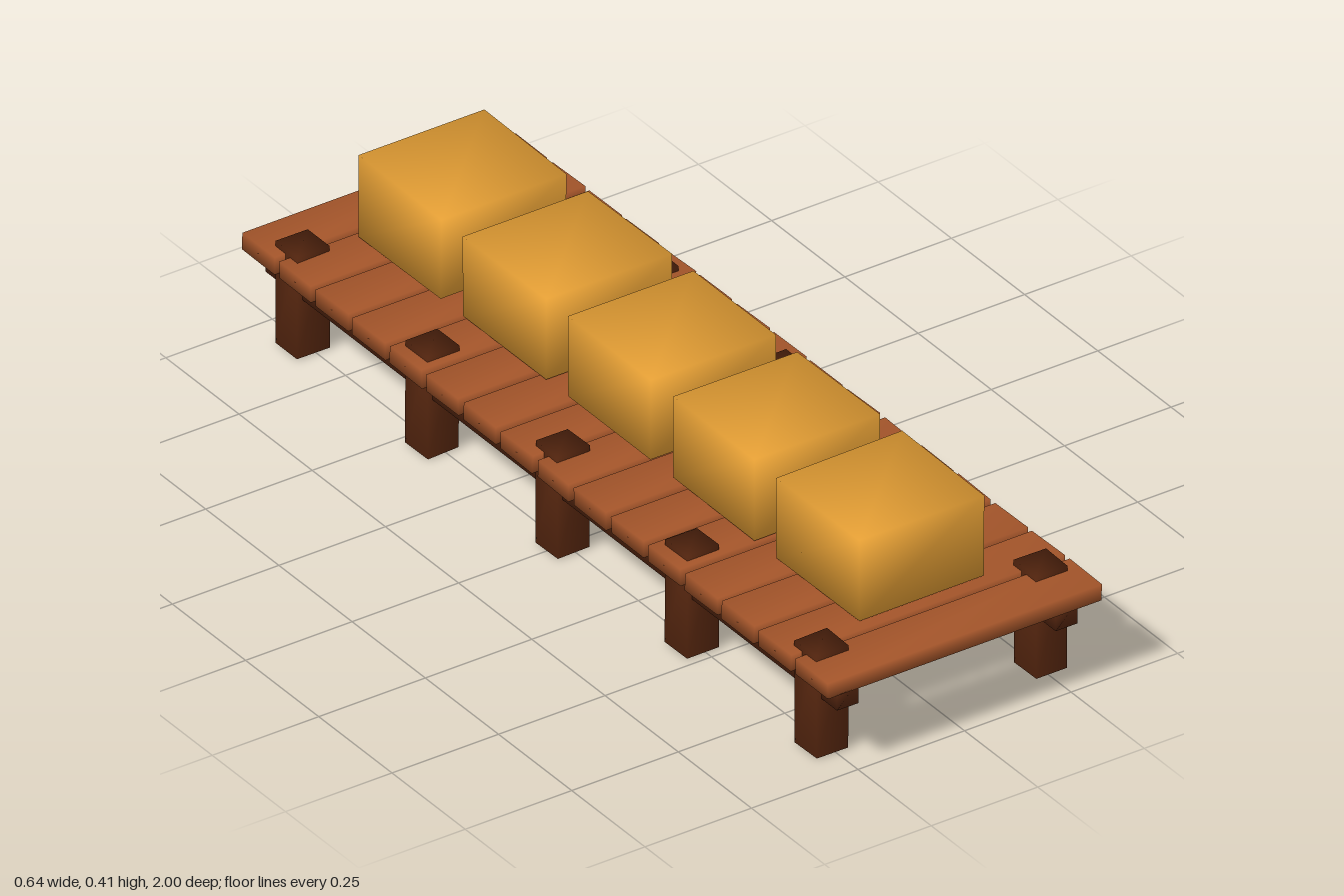
import * as THREE from 'three';
import { mergeVertices } from 'three/addons/utils/BufferGeometryUtils.js';

const wood = new THREE.MeshStandardMaterial({ color: 0xa4552a });
wood.name = 'plank brown';
const darkWood = new THREE.MeshStandardMaterial({ color: 0x56260f });
darkWood.name = 'dark brown';
const straw = new THREE.MeshStandardMaterial({ color: 0xe29d34 });
straw.name = 'straw yellow';

export function createModel() {
  const model = new THREE.Group();
  model.name = 'plankTable';

  let seed = 7;
  const jitter = (amount) => {
    seed = (seed * 16807) % 2147483647;
    return (seed / 2147483647 - 0.5) * 2 * amount;
  };

  // Box with shared, smoothly shaded corners, each nudged slightly for a hand-cut look
  function softBox(name, material, size, position, wobble) {
    let geometry = new THREE.BoxGeometry(...size);
    geometry.deleteAttribute('normal');
    geometry.deleteAttribute('uv');
    geometry = mergeVertices(geometry);
    const p = geometry.attributes.position;
    for (let i = 0; i < p.count; i++) {
      p.setXYZ(i, p.getX(i) + jitter(wobble), p.getY(i) + jitter(wobble), p.getZ(i) + jitter(wobble));
    }
    geometry.computeVertexNormals();
    const mesh = new THREE.Mesh(geometry, material);
    mesh.name = name;
    mesh.position.set(...position);
    model.add(mesh);
  }

  // Sixteen deck planks
  for (let i = 0; i < 16; i++) {
    softBox('plank', wood, [0.642, 0.039, 0.11], [0, 0.203, (i - 7.5) * 0.126], 0.0015);
  }

  // Side rails and the posts whose tops poke through the deck
  for (const side of [-1, 1]) {
    const x = side * 0.257;
    softBox('rail', darkWood, [0.052, 0.052, 1.95], [x, 0.159, 0], 0.0008);
    for (let i = -2; i <= 2; i++) {
      softBox('post', darkWood, [0.075, 0.232, 0.075], [x, 0.118, i * 0.443], 0.0015);
    }
  }

  // Row of straw blocks
  for (let i = -2; i <= 2; i++) {
    softBox('strawBlock', straw, [0.294, 0.182, 0.282], [0, 0.32, i * 0.357], 0.002);
  }

  return model;
}
